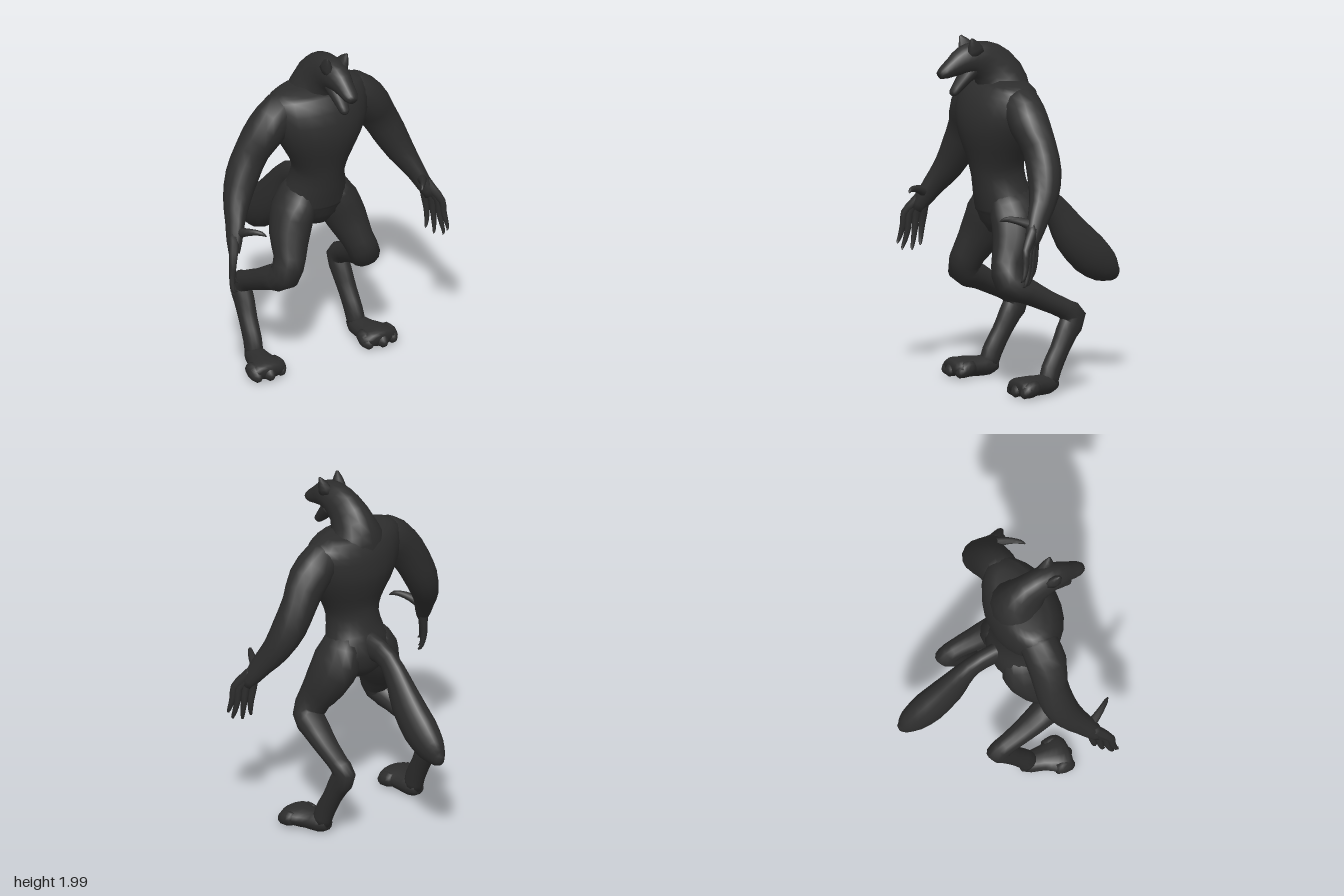
import * as THREE from 'three';

const fur = new THREE.MeshStandardMaterial({ color: 0x2d2d2d });
fur.name = 'charcoalFur';

// Smooth closed skin over elliptical sections [x, y, z, widthRadius, depthRadius]
function loft(name, sections, sides = 14, perSpan = 2) {
  const path = new THREE.CatmullRomCurve3(sections.map(s => new THREE.Vector3(s[0], s[1], s[2])));
  const radii = new THREE.CatmullRomCurve3(sections.map(s => new THREE.Vector3(s[3], s[4], 0)));
  const n = (sections.length - 1) * perSpan;
  const pos = [], idx = [];
  for (let i = 0; i <= n; i++) {
    const c = path.getPoint(i / n), r = radii.getPoint(i / n);
    const t = path.getTangent(i / n);
    const u = new THREE.Vector3(1, 0, 0).addScaledVector(t, -t.x).normalize();
    const v = new THREE.Vector3().crossVectors(t, u);
    for (let j = 0; j < sides; j++) {
      const a = j / sides * Math.PI * 2;
      const p = c.clone().addScaledVector(u, Math.cos(a) * r.x).addScaledVector(v, Math.sin(a) * r.y);
      pos.push(p.x, p.y, p.z);
    }
  }
  const start = pos.length / 3, end = start + 1;
  const p0 = path.getPoint(0), p1 = path.getPoint(1);
  pos.push(p0.x, p0.y, p0.z, p1.x, p1.y, p1.z);
  for (let j = 0; j < sides; j++) {
    const k = (j + 1) % sides;
    for (let i = 0; i < n; i++) {
      const a = i * sides + j, b = i * sides + k;
      idx.push(a, b, a + sides, b, b + sides, a + sides);
    }
    idx.push(start, k, j, end, n * sides + j, n * sides + k);
  }
  const g = new THREE.BufferGeometry();
  g.setAttribute('position', new THREE.Float32BufferAttribute(pos, 3));
  g.setIndex(idx);
  g.computeVertexNormals();
  const m = new THREE.Mesh(g, fur);
  m.name = name;
  return m;
}

export function createModel() {
  const model = new THREE.Group();
  model.name = 'wolfCreature';

  // Torso from crotch to shoulder line
  model.add(loft('torso', [
    [0, 0.87, 0.18, 0.06, 0.07], [0, 0.93, 0.165, 0.15, 0.125], [0, 1.02, 0.155, 0.208, 0.155],
    [0, 1.11, 0.18, 0.173, 0.15], [0, 1.22, 0.2, 0.148, 0.148], [0, 1.31, 0.21, 0.178, 0.158],
    [0, 1.43, 0.212, 0.245, 0.195], [0, 1.55, 0.205, 0.295, 0.208], [0, 1.65, 0.185, 0.305, 0.185],
    [0, 1.715, 0.172, 0.285, 0.145], [0, 1.75, 0.17, 0.2, 0.09]], 24));

  // Hunched neck, skull and upper muzzle in one skin
  model.add(loft('neckAndHead', [
    [0, 1.55, 0.14, 0.19, 0.125], [0, 1.67, 0.16, 0.175, 0.14], [0, 1.765, 0.195, 0.12, 0.142],
    [0, 1.84, 0.265, 0.088, 0.122], [0, 1.873, 0.35, 0.08, 0.098], [0, 1.867, 0.42, 0.07, 0.08],
    [0, 1.838, 0.485, 0.053, 0.056], [0, 1.812, 0.54, 0.045, 0.038], [0, 1.797, 0.572, 0.026, 0.023]], 16));
  model.add(loft('lowerJaw', [
    [0, 1.83, 0.35, 0.062, 0.06], [0, 1.778, 0.405, 0.052, 0.042],
    [0, 1.73, 0.448, 0.038, 0.033], [0, 1.692, 0.483, 0.028, 0.024], [0, 1.68, 0.495, 0.012, 0.012]], 12));

  // Bushy tail, hanging backwards
  model.add(loft('tail', [
    [0, 1.05, 0.12, 0.1, 0.1], [0, 1.07, 0.02, 0.05, 0.082], [0, 1.035, -0.11, 0.05, 0.07],
    [0, 0.94, -0.195, 0.062, 0.085], [0, 0.82, -0.275, 0.078, 0.112], [0, 0.71, -0.38, 0.086, 0.12],
    [0, 0.63, -0.48, 0.07, 0.095], [0, 0.595, -0.54, 0.042, 0.055], [0, 0.59, -0.568, 0.015, 0.025]], 16));

  for (const [side, s] of [['left', 1], ['right', -1]]) {
    const part = (name, sections, sides) => model.add(
      loft(side + name, sections.map(([x, ...rest]) => [x * s, ...rest]), sides));

    part('Ear', [[0.045, 1.91, 0.365, 0.032, 0.06], [0.055, 1.96, 0.385, 0.023, 0.036],
      [0.064, 1.998, 0.402, 0.006, 0.007]], 8);

    // Arm down to the wrist
    part('Arm', [
      [0.14, 1.64, 0.18, 0.06, 0.08], [0.235, 1.625, 0.183, 0.115, 0.11], [0.33, 1.54, 0.185, 0.115, 0.113],
      [0.41, 1.42, 0.168, 0.105, 0.095], [0.478, 1.29, 0.175, 0.095, 0.098], [0.535, 1.17, 0.21, 0.077, 0.085],
      [0.588, 1.06, 0.275, 0.052, 0.066], [0.62, 0.98, 0.32, 0.042, 0.052], [0.64, 0.92, 0.35, 0.03, 0.035]]);

    // Four clawed fingers fanning out from the wrist: knuckle and tip as x, z, then tip height
    [[0.682, 0.405, 0.695, 0.442, 0.73], [0.668, 0.38, 0.682, 0.42, 0.695],
      [0.648, 0.348, 0.645, 0.38, 0.695], [0.624, 0.318, 0.614, 0.345, 0.725]].forEach(([x, z, tx, tz, ty], i) => {
      const at = k => 0.9 + (ty - 0.9) * k;
      part('Finger' + (i + 1), [
        [0.61 + (x - 0.65) * 0.4, 1.02, 0.3 + (z - 0.36) * 0.4, 0.026, 0.03],
        [(x + 0.615) / 2, 0.96, (z + 0.315) / 2, 0.027, 0.032],
        [x, 0.9, z, 0.02, 0.024], [x + 0.008, at(0.4), z + 0.006, 0.017, 0.019],
        [(x + tx) / 2 + 0.01, at(0.75), (z + tz) / 2, 0.013, 0.014],
        [tx + 0.004, at(0.95), tz - 0.004, 0.008, 0.009], [tx - 0.006, at(1), tz + 0.004, 0.002, 0.002]], 8);
    });
    part('Thumb', [[0.605, 1.02, 0.31, 0.03, 0.035], [0.578, 1.045, 0.37, 0.024, 0.024],
      [0.55, 1.058, 0.42, 0.017, 0.018], [0.525, 1.058, 0.455, 0.012, 0.013],
      [0.507, 1.046, 0.475, 0.003, 0.003]], 8);

    // Hind leg: thigh, bent knee, raised hock, ankle
    part('Leg', [
      [0.08, 1.12, 0.17, 0.07, 0.11], [0.135, 0.98, 0.163, 0.118, 0.148], [0.185, 0.85, 0.2, 0.112, 0.128],
      [0.222, 0.73, 0.26, 0.088, 0.098], [0.26, 0.64, 0.268, 0.088, 0.09], [0.285, 0.588, 0.17, 0.08, 0.073],
      [0.303, 0.525, 0.05, 0.066, 0.06], [0.314, 0.475, -0.05, 0.057, 0.058],
      [0.317, 0.428, -0.1, 0.056, 0.078], [0.319, 0.345, -0.058, 0.055, 0.066],
      [0.325, 0.25, -0.008, 0.051, 0.056], [0.33, 0.15, 0.045, 0.05, 0.06], [0.335, 0.07, 0.07, 0.05, 0.055]]);

    // Broad padded paw with three blunt toes
    part('Paw', [
      [0.33, 0.075, 0.02, 0.035, 0.035], [0.335, 0.07, 0.07, 0.058, 0.056], [0.345, 0.068, 0.15, 0.074, 0.056],
      [0.36, 0.07, 0.22, 0.104, 0.056], [0.366, 0.07, 0.265, 0.112, 0.05], [0.368, 0.065, 0.298, 0.075, 0.035]]);
    [[0.287, 0.268], [0.368, 0.288], [0.44, 0.27]].forEach(([x, z], i) => {
      part('Toe' + (i + 1), [
        [x, 0.075, z - 0.08, 0.03, 0.035], [x, 0.066, z - 0.03, 0.04, 0.046],
        [x, 0.046, z + 0.005, 0.034, 0.034], [x, 0.028, z + 0.022, 0.014, 0.016]], 10);
    });
  }
  return model;
}
